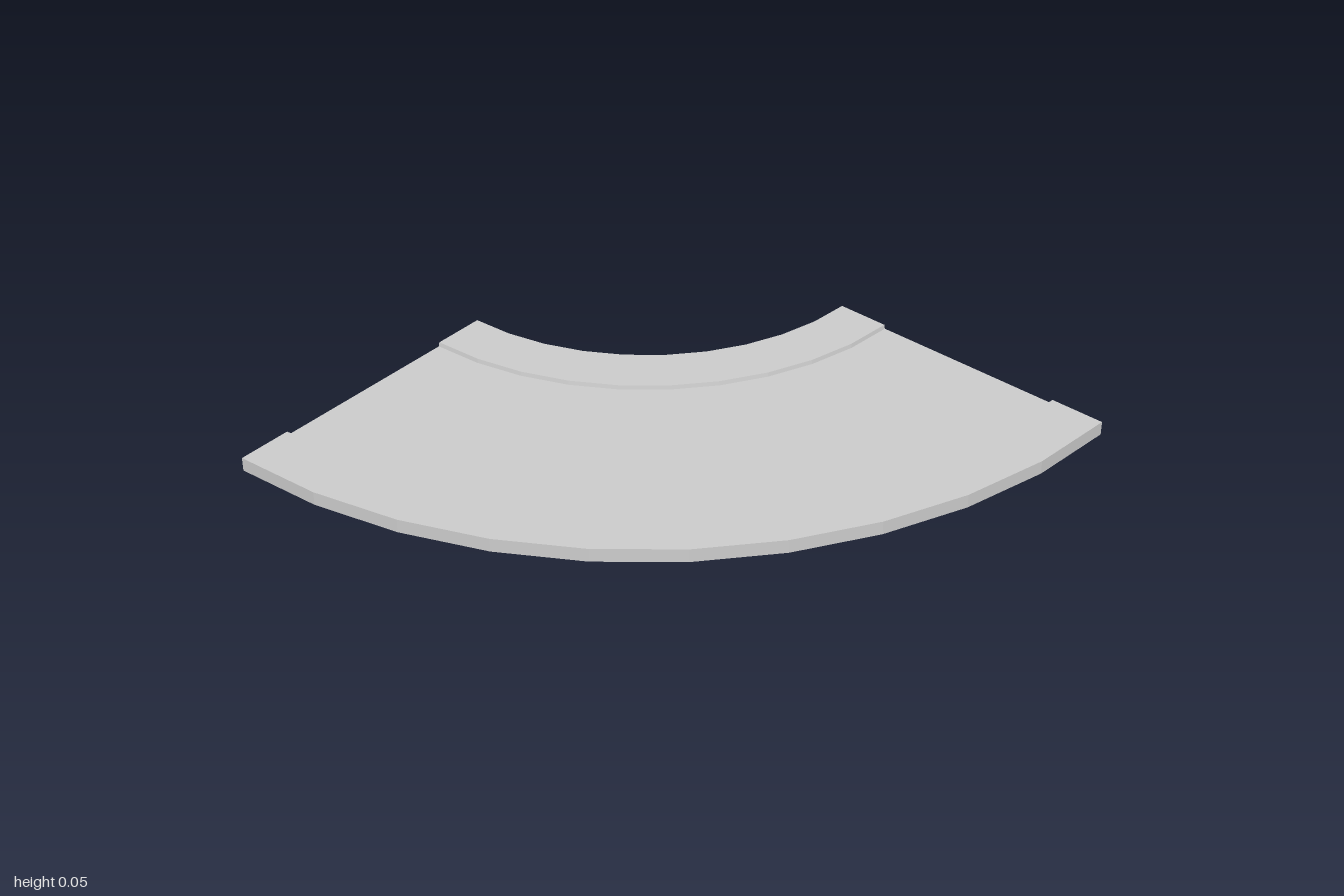
import * as THREE from 'three';

// Quarter-circle road bend: an open shell swept around the corner at (-1, -1)
export function createModel() {
  const group = new THREE.Group();
  group.name = 'roadBend';
  const material = new THREE.MeshStandardMaterial({
    color: 0xcccccc, flatShading: true, side: THREE.DoubleSide,
  });

  const top = 0.05, road = 0.035;
  const steps = 10;

  // Sweep a [radius, height] profile, listed from the outside inwards
  const sweep = (name, profile) => {
    const points = profile.map(([r, y]) => new THREE.Vector2(r, y));
    const mesh = new THREE.Mesh(
      new THREE.LatheGeometry(points, steps, 0, Math.PI / 2), material);
    mesh.name = name;
    mesh.position.set(-1, 0, -1);
    group.add(mesh);
  };

  // Outer pavement: skirt, flat top and low kerb down to the road
  sweep('outerPavement', [[2, 0], [2, top], [1.803, top], [1.8, road]]);
  // Sunken carriageway
  sweep('roadSurface', [[1.8, road], [1.1, road]]);
  // Inner pavement: kerb, flat top and skirt
  sweep('innerPavement', [[1.1, road], [1.097, top], [0.91, top], [0.91, 0]]);

  return group;
}
